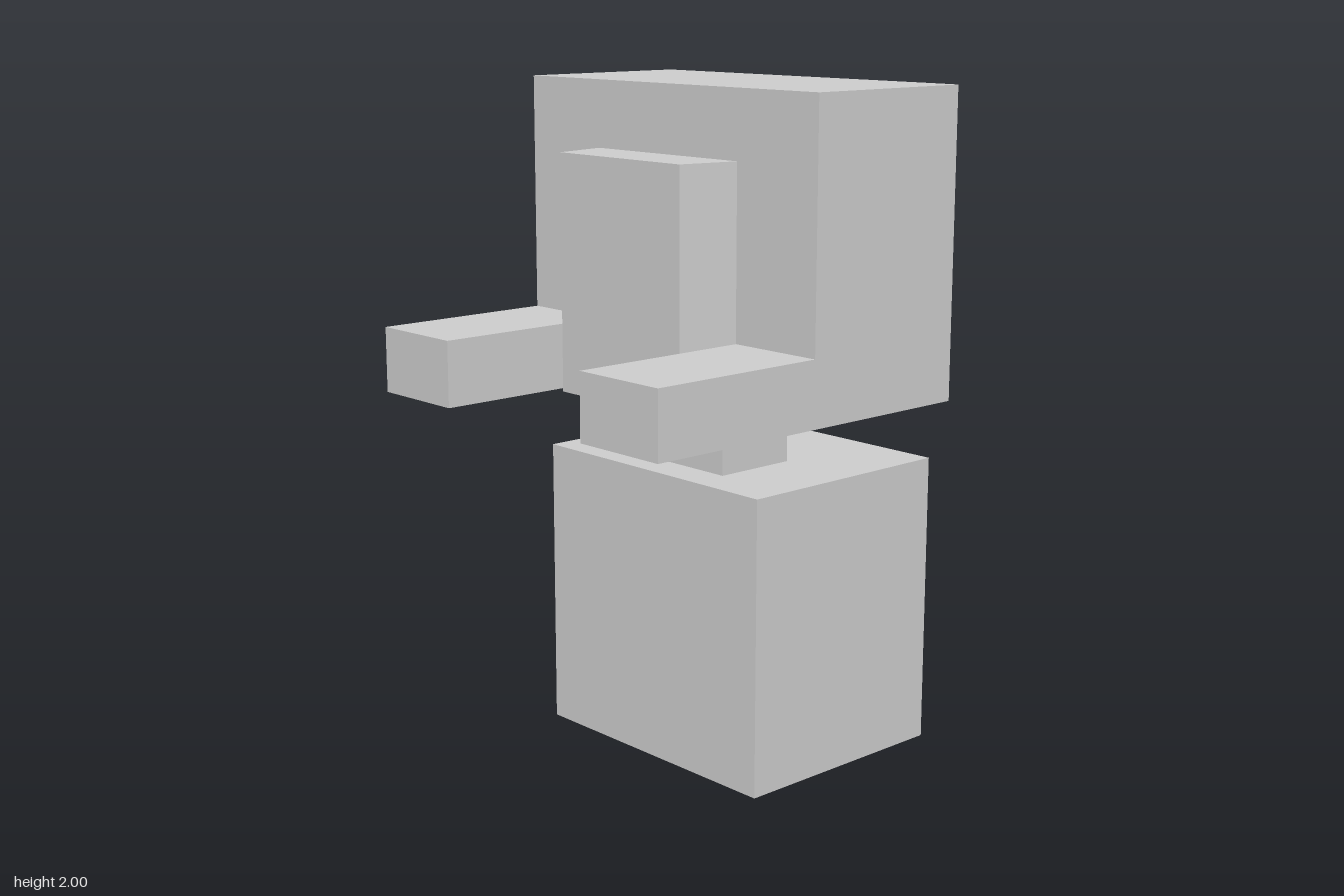
import * as THREE from 'three';

const material = new THREE.MeshStandardMaterial({ color: 0xcccccc, flatShading: true });

// Box given by its extents along each axis
function block(name, [x0, x1], [y0, y1], [z0, z1]) {
  const geometry = new THREE.BoxGeometry(x1 - x0, y1 - y0, z1 - z0);
  geometry.translate((x0 + x1) / 2, (y0 + y1) / 2, (z0 + z1) / 2);
  const mesh = new THREE.Mesh(geometry, material);
  mesh.name = name;
  return mesh;
}

export function createModel() {
  const model = new THREE.Group();
  model.name = 'blockFigure';

  // Lower block, neck and wide upper block
  model.add(
    block('base', [-0.44, 0.457], [0, 0.885], [-0.61, 0.113]),
    block('neck', [-0.18, 0.2], [0.885, 1.095], [-0.265, 0]),
    block('upperBlock', [-0.6, 0.6], [1.095, 2], [-0.522, 0.04])
  );

  // Arms reaching forward, flush with the sides and underside of the upper block
  model.add(
    block('leftArm', [0.293, 0.6], [1.095, 1.29], [0.04, 0.608]),
    block('rightArm', [-0.6, -0.293], [1.095, 1.29], [0.04, 0.608])
  );

  // Front panel, narrowing towards the front
  const panel = block('frontPanel', [-0.293, 0.293], [1.095, 1.8], [0.04, 0.22]);
  const position = panel.geometry.attributes.position;
  for (let i = 0; i < position.count; i++) {
    if (position.getZ(i) > 0.1) position.setX(i, Math.sign(position.getX(i)) * 0.255);
  }
  panel.geometry.computeVertexNormals();
  model.add(panel);

  return model;
}
